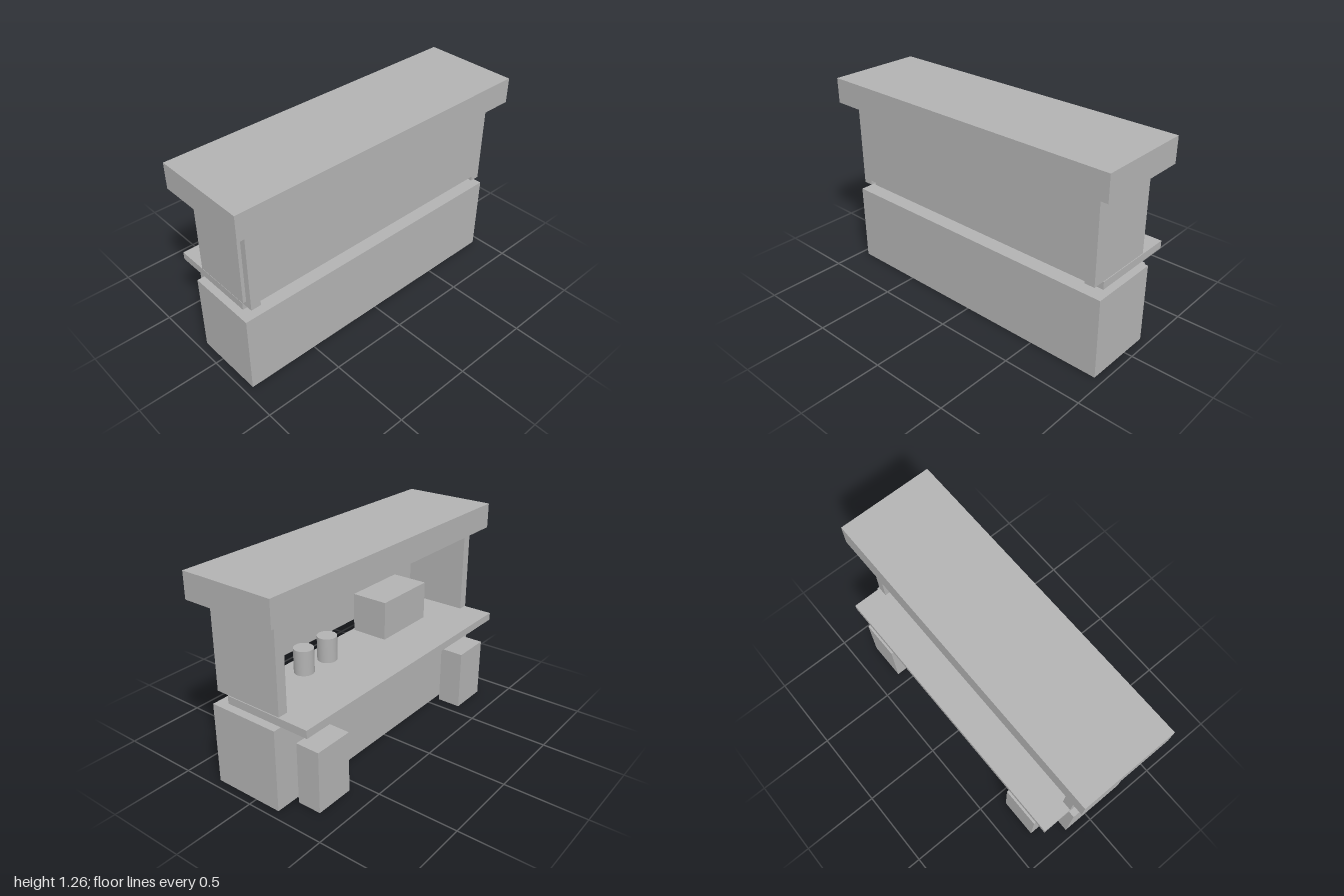
import * as THREE from 'three';

export function createModel() {
  const root = new THREE.Group();
  root.name = 'kiosk';
  const grey = new THREE.MeshStandardMaterial({ color: 0xb2b2b2 });
  grey.name = 'plain grey';

  const add = (name, geometry) => {
    const mesh = new THREE.Mesh(geometry, grey);
    mesh.name = name;
    root.add(mesh);
    return mesh;
  };
  // box given by its limits along each axis
  const box = (name, [x0, x1], [y0, y1], [z0, z1]) => {
    const mesh = add(name, new THREE.BoxGeometry(x1 - x0, y1 - y0, z1 - z0));
    mesh.position.set((x0 + x1) / 2, (y0 + y1) / 2, (z0 + z1) / 2);
  };

  // main body
  box('baseCabinet', [-0.95, 0.948], [0, 0.5], [-0.165, 0.285]);
  box('counterTop', [-0.91, 0.91], [0.512, 0.56], [-0.355, 0.205]);
  box('roof', [-1, 1], [1.105, 1.262], [-0.24, 0.358]);

  // upper walls, with the front panel held between them
  box('rightWall', [-0.91, -0.848], [0.563, 1.105], [-0.165, 0.285]);
  box('leftWall', [0.846, 0.908], [0.563, 1.105], [-0.165, 0.285]);
  box('frontPanel', [-0.848, 0.846], [0.593, 1.105], [0.247, 0.285]);
  box('sideBoard', [-0.93, -0.91], [0.6, 1.07], [-0.118, 0.245]);

  // things on the counter
  box('counterBox', [-0.565, -0.138], [0.57, 0.812], [-0.058, 0.178]);
  for (const x of [0.271, 0.471]) {
    const jar = add('jar', new THREE.CylinderGeometry(0.059, 0.059, 0.15, 24));
    jar.position.set(x, 0.647, 0.052);
  }

  // two stools behind the counter
  for (const x of [-0.7, 0.7]) {
    box('stool', [x - 0.125, x + 0.125], [0, 0.38], [-0.35, -0.2]);
  }
  return root;
}
